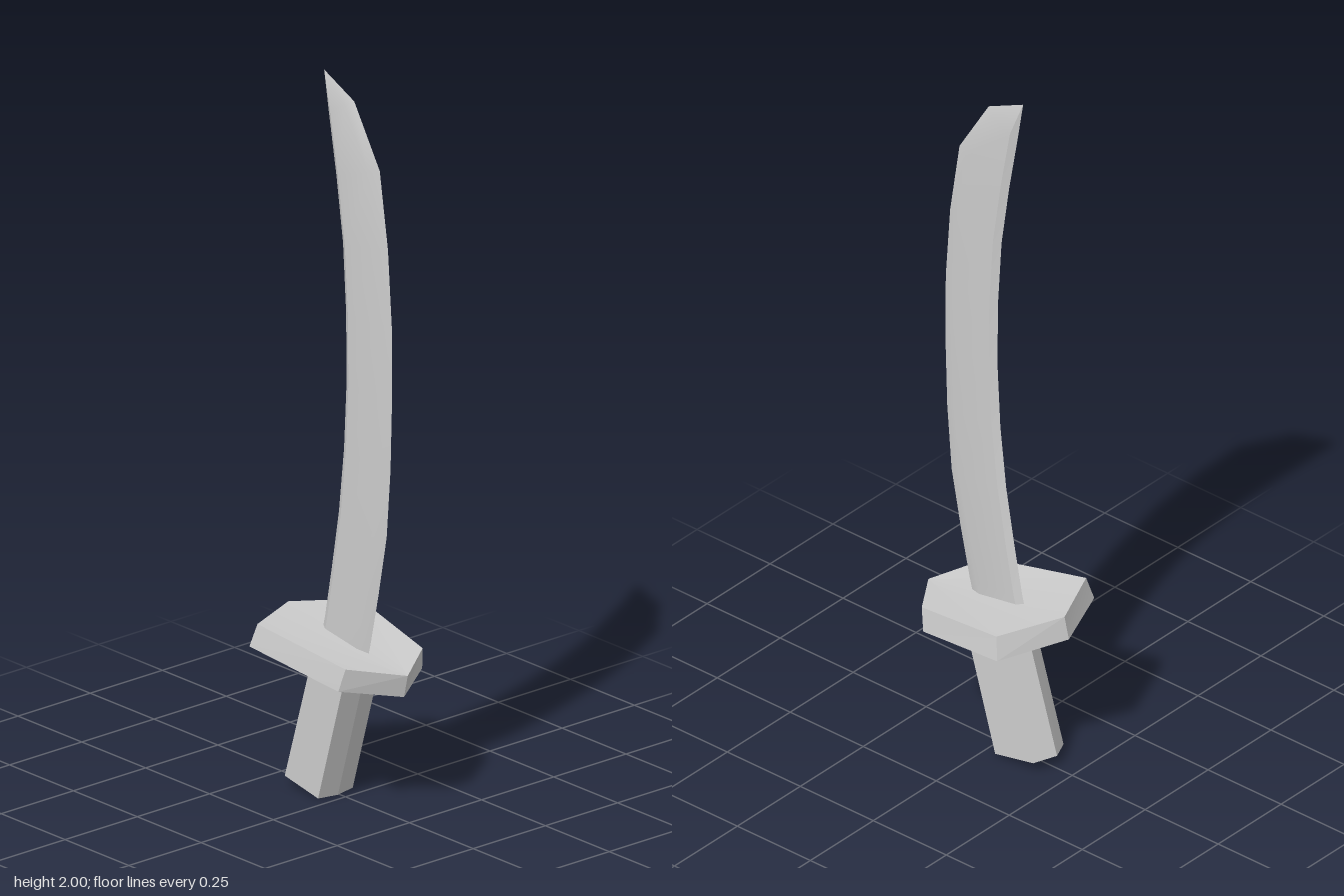
import * as THREE from 'three';
import { toCreasedNormals } from 'three/addons/utils/BufferGeometryUtils.js';

// Joins rings of [x, y, z] points (counter-clockwise from above, listed upwards) and caps both ends
function loft(rings) {
  const n = rings[0].length, index = [];
  for (let i = 0; i < rings.length - 1; i++) {
    for (let j = 0; j < n; j++) {
      const k = (j + 1) % n, a = i * n + j, b = i * n + k;
      index.push(a, b, b + n, a, b + n, a + n);
    }
  }
  const top = (rings.length - 1) * n;
  for (let j = 1; j < n - 1; j++) {
    index.push(0, j + 1, j, top, top + j, top + j + 1);
  }
  const geometry = new THREE.BufferGeometry();
  geometry.setAttribute('position', new THREE.Float32BufferAttribute(rings.flat(2), 3));
  geometry.setIndex(index);
  return geometry;
}

function part(name, geometry, crease) {
  const mesh = new THREE.Mesh(toCreasedNormals(geometry, crease), new THREE.MeshStandardMaterial({ color: 0xcccccc }));
  mesh.name = name;
  return mesh;
}

// Six-sided section running from a front edge to a back edge, both [z, y], with a bevel at each
function hexRing(front, back, x, halfWidth, frontBevel, backBevel) {
  const length = Math.hypot(front[0] - back[0], front[1] - back[1]) || 1;
  const at = (dx, d) => {
    const t = d / length;
    return [x + dx, front[1] + (back[1] - front[1]) * t, front[0] + (back[0] - front[0]) * t];
  };
  const w = halfWidth, f = frontBevel, b = length - backBevel;
  return [at(0, 0), at(w, f), at(w, b), at(0, length), at(-w, b), at(-w, f)];
}

export function createModel() {
  const group = new THREE.Group();

  // Curved blade: front edge and back edge at each station, as [z, y]
  const stations = [
    [[0.09, 0.40], [-0.09, 0.42]],
    [[0.105, 0.46], [-0.075, 0.48]],
    [[0.135, 0.60], [-0.047, 0.63]],
    [[0.167, 0.77], [-0.02, 0.79]],
    [[0.182, 0.96], [0, 0.97]],
    [[0.188, 1.16], [0.01, 1.16]],
    [[0.187, 1.36], [0.008, 1.35]],
    [[0.172, 1.57], [-0.004, 1.54]],
    [[0.14, 1.78], [-0.03, 1.72]],
  ];
  const bladeRings = stations.map(([f, b]) => hexRing(f, b, -0.005, 0.0115, 0.034, 0.02));
  bladeRings.push(hexRing([0.04, 1.945], [-0.06, 1.89], -0.005, 0.0115, 0.03, 0.02));
  bladeRings.push(Array.from({ length: 6 }, () => [-0.005, 2, -0.078]));
  group.add(part('blade', loft(bladeRings), 0.45));

  // Tilted six-sided guard, slightly wider underneath
  const guardTop = [
    [0.005, 0.403, 0.238], [0.138, 0.42, 0.146], [0.172, 0.467, -0.139],
    [0, 0.479, -0.224], [-0.174, 0.482, -0.148], [-0.137, 0.433, 0.155],
  ];
  const guardBottom = guardTop.map(([x, y, z]) => [x * 1.085, y - 0.063, z - 0.015]);
  group.add(part('guard', loft([guardBottom, guardTop]), 0.1));

  // Slanted grip with a shallow front ridge and a deeper back ridge
  const gripBottom = hexRing([-0.024, 0], [-0.194, 0.034], -0.005, 0.06, 0.01, 0.03);
  const gripTop = hexRing([0.088, 0.39], [-0.08, 0.415], -0.005, 0.06, 0.01, 0.03);
  group.add(part('grip', loft([gripBottom, gripTop]), 0.1));

  return group;
}
